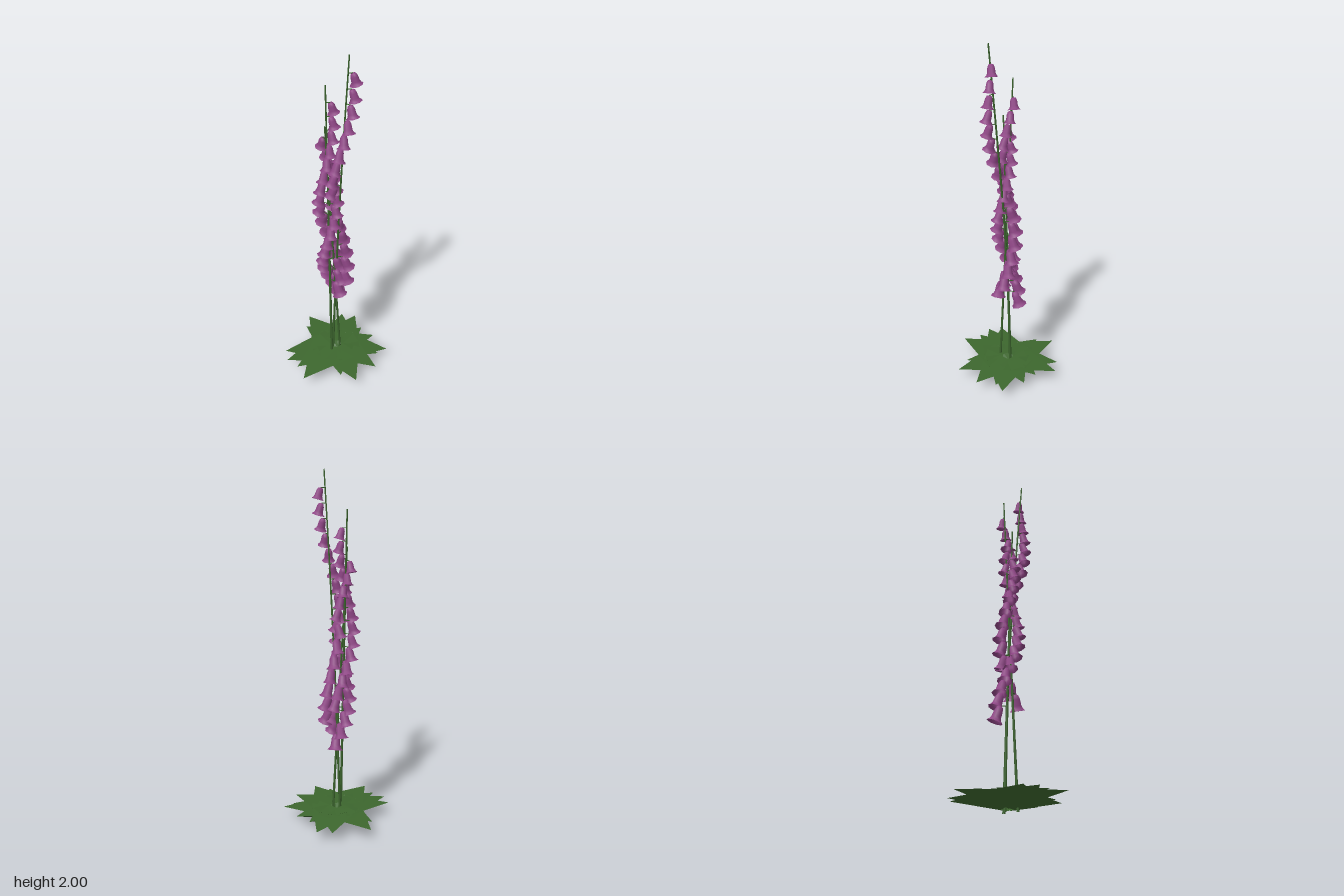
import * as THREE from 'three';

const leafGreen = new THREE.MeshStandardMaterial({ name: 'leafGreen', color: 0x3d672e, side: THREE.DoubleSide, flatShading: true });
const stemGreen = new THREE.MeshStandardMaterial({ name: 'stemGreen', color: 0x3b642d });
const petalPurple = new THREE.MeshStandardMaterial({ name: 'petalPurple', color: 0x8e4585, side: THREE.DoubleSide });

const V = (x, y, z) => new THREE.Vector3(x, y, z);

// Hanging bell with a flared rim; its crown sits at the origin
const bellGeometry = new THREE.LatheGeometry([
  [0.035, -0.064], [0.026, -0.056], [0.021, -0.044], [0.019, -0.02], [0.013, -0.004], [0, 0],
].map(([r, y]) => new THREE.Vector2(r, y)), 8);

// Tube that narrows towards its tip
function taperedStem(curve, r0, r1) {
  const rows = 24, sides = 6;
  const geo = new THREE.TubeGeometry(curve, rows, 1, sides);
  const pos = geo.attributes.position, v = V(0, 0, 0);
  for (let i = 0; i < pos.count; i++) {
    const t = Math.floor(i / (sides + 1)) / rows;
    const c = curve.getPointAt(t);
    v.fromBufferAttribute(pos, i).sub(c).multiplyScalar(r0 + (r1 - r0) * t).add(c);
    pos.setXYZ(i, v.x, v.y, v.z);
  }
  return geo;
}

// Stem with a spiral of bells, larger and further out towards the bottom
function flowerSpike({ path, top, bottom, start, step }) {
  const spike = new THREE.Group();
  spike.name = 'flowerSpike';
  const curve = new THREE.CatmullRomCurve3(path.map(p => V(...p)));
  const height = path[path.length - 1][1];
  const stem = new THREE.Mesh(taperedStem(curve, 0.008, 0.004), stemGreen);
  stem.name = 'stem';
  spike.add(stem);

  const count = 16;
  for (let i = 0; i < count; i++) {
    const t = i / (count - 1);
    const y = top + (bottom - top) * t;
    const flower = new THREE.Group();
    flower.name = 'flower';
    flower.position.copy(curve.getPoint(y / height));
    flower.rotation.y = -THREE.MathUtils.degToRad(start + step * i);

    const reach = 0.024 + 0.012 * t;
    const stalk = new THREE.Mesh(new THREE.CylinderGeometry(0.0025, 0.0025, reach, 5), stemGreen);
    stalk.name = 'flowerStalk';
    stalk.rotation.z = Math.PI / 2;
    stalk.position.x = reach / 2;

    const bell = new THREE.Mesh(bellGeometry, petalPurple);
    bell.name = 'bell';
    bell.position.x = reach;
    bell.rotation.z = 0.28 + 0.06 * t;
    const wide = 1 + 0.27 * t;
    bell.scale.set(wide, 1 + 0.42 * t, wide);
    flower.add(stalk, bell);
    spike.add(flower);
  }
  return spike;
}

// Broad triangular leaf with a keel underneath, running out to the tip (x, z)
function leafGeometry(x, z, lift) {
  const length = Math.hypot(x, z);
  const half = 0.46 * length, rim = 0.089 + lift;
  const positions = [
    length, 0.076, 0, // tip
    0.03, rim, -half, 0.03, rim, half, // wide corners
    0.03, 0.015, 0, // keel foot
  ];
  const geo = new THREE.BufferGeometry();
  geo.setAttribute('position', new THREE.Float32BufferAttribute(positions, 3));
  geo.setIndex([0, 1, 2, 0, 3, 1, 0, 2, 3]);
  geo.computeVertexNormals();
  geo.rotateY(-Math.atan2(z, x));
  return geo;
}

export function createModel() {
  const model = new THREE.Group();
  model.name = 'bellflowerPlant';

  // Three leaning flower spikes
  const spikes = [
    {
      path: [[-0.022, 0, -0.015], [-0.006, 0.5, -0.002], [0.012, 1, 0.02], [0.034, 1.5, 0.056], [0.06, 2, 0.095]],
      top: 1.905, bottom: 0.69, start: -12, step: 26,
    },
    {
      path: [[-0.027, 0, 0.05], [-0.036, 0.6, 0.024], [-0.045, 1.2, -0.001], [-0.055, 1.8, -0.025]],
      top: 1.705, bottom: 0.62, start: -15, step: 27,
    },
    {
      path: [[0.025, 0, -0.015], [-0.003, 0.533, -0.002], [-0.032, 1.067, 0.011], [-0.06, 1.6, 0.025]],
      top: 1.525, bottom: 0.555, start: 238, step: 27,
    },
  ];
  for (const spec of spikes) model.add(flowerSpike(spec));

  // Rosette of leaves, given by their tips
  const rosette = new THREE.Group();
  rosette.name = 'leafRosette';
  const tips = [
    [-0.175, -0.275], [0.04, -0.298], [0.125, -0.283], [0.162, -0.165], [0.235, -0.095],
    [0.31, 0.03], [0.255, 0.068], [0.235, 0.182], [0.115, 0.293], [0.025, 0.25],
    [-0.195, 0.277], [-0.235, 0.18], [-0.3, 0.125], [-0.313, 0.045], [-0.19, -0.18],
  ];
  tips.forEach(([x, z], i) => {
    const leaf = new THREE.Mesh(leafGeometry(x, z, 0.002 * (i % 4)), leafGreen);
    leaf.name = 'leaf';
    rosette.add(leaf);
  });
  model.add(rosette);
  return model;
}
